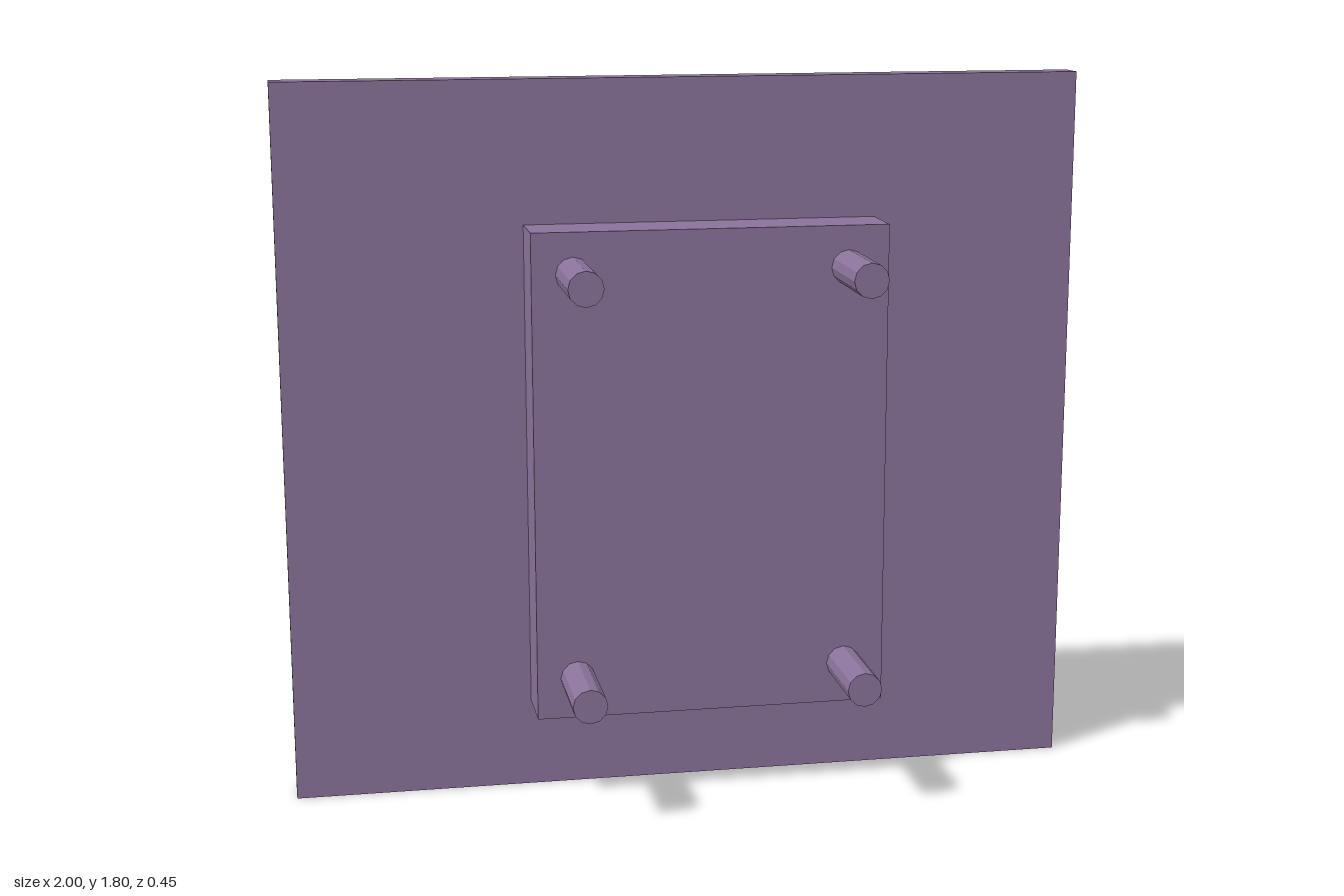
import * as THREE from 'three';

export function createModel() {
  const model = new THREE.Group();
  model.name = 'wallMount';
  const material = new THREE.MeshStandardMaterial({ color: 0x8a739b, flatShading: true });

  const add = (name, geometry, x, y, z) => {
    const mesh = new THREE.Mesh(geometry, material);
    mesh.name = name;
    mesh.position.set(x, y, z);
    model.add(mesh);
  };

  // Wide back panel and the raised block on its front
  add('backPanel', new THREE.BoxGeometry(2, 1.797, 0.074), 0, 0.8985, -0.186);
  add('raisedBlock', new THREE.BoxGeometry(0.883, 1.22, 0.149), 0.04, 0.834, -0.0745);

  // Four pegs pointing forward, one near each corner of the block
  const pegLength = 0.223;
  const peg = new THREE.CylinderGeometry(0.043, 0.043, pegLength, 12).rotateX(Math.PI / 2);
  for (const [side, x] of [['Right', -0.3], ['Left', 0.38]]) {
    for (const [level, y] of [['lower', 0.327], ['upper', 1.341]]) {
      add(`${level}${side}Peg`, peg, x, y, pegLength / 2);
    }
  }
  return model;
}
